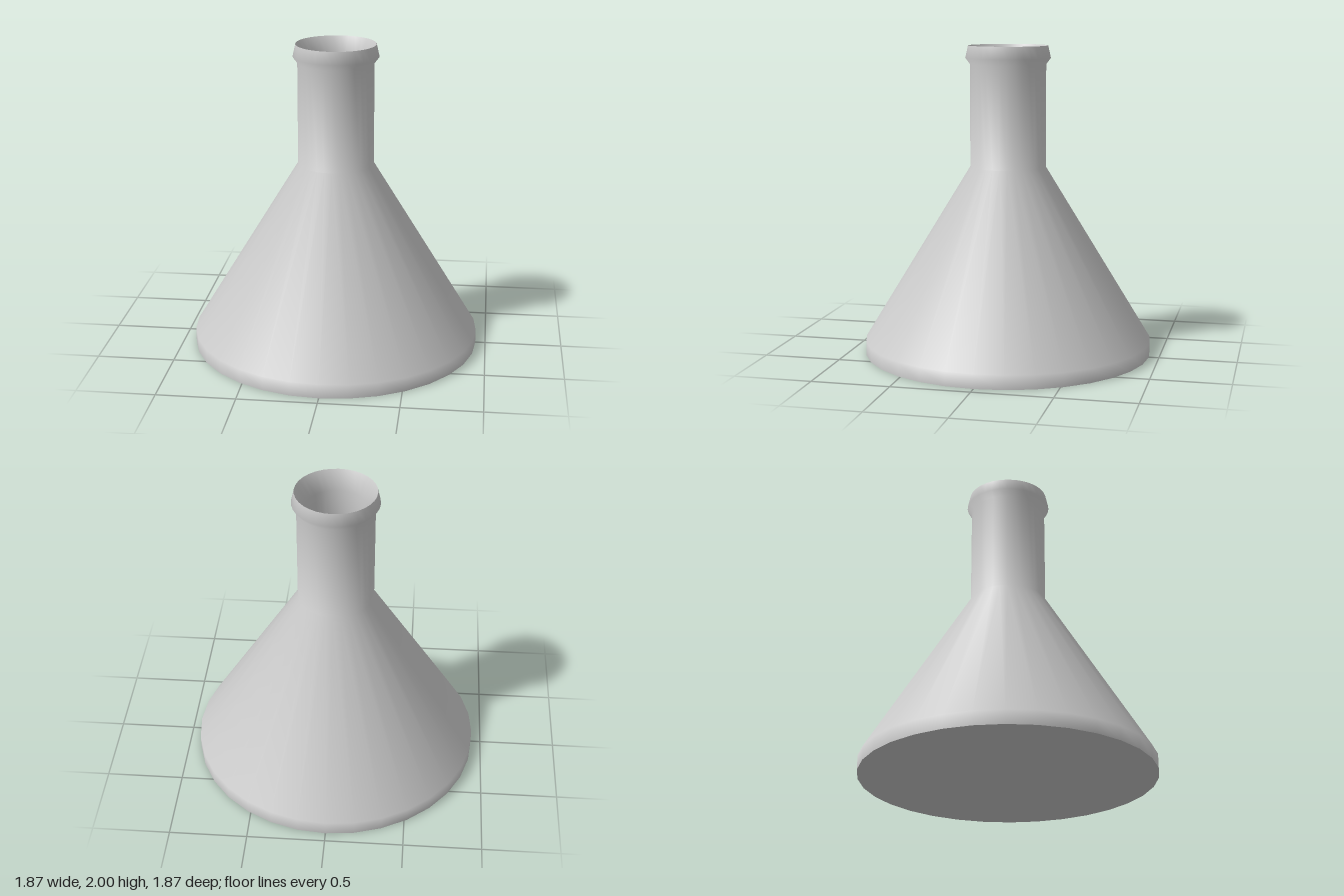
import * as THREE from 'three';

const SEGMENTS = 32;

export function createModel() {
  const model = new THREE.Group();
  model.name = 'conicalFlask';
  const material = new THREE.MeshStandardMaterial({ color: 0xcccccc });

  const add = (name, geometry) => {
    const mesh = new THREE.Mesh(geometry, material);
    mesh.name = name;
    model.add(mesh);
    return mesh;
  };
  const lathe = (name, profile) =>
    add(name, new THREE.LatheGeometry(profile.map(([r, y]) => new THREE.Vector2(r, y)), SEGMENTS));

  // Outer wall: base band, cone, neck and flared lip
  lathe('outerWall', [
    [0.935, 0], [0.935, 0.09], [0.245, 1.22], [0.245, 1.88], [0.275, 1.92], [0.257, 2],
  ]);

  // Inner wall: mouth funnel, neck bore and hollow body, facing inwards
  lathe('innerWall', [
    [0.257, 2], [0.195, 1.88], [0.195, 1.21], [0.885, 0.08], [0.885, 0.05],
  ]);

  // Flat underside, and the floor seen through the mouth
  const disc = (name, radius, y, facing) => {
    const geometry = new THREE.CircleGeometry(radius, SEGMENTS);
    geometry.rotateX(-facing * Math.PI / 2);
    add(name, geometry).position.y = y;
  };
  disc('underside', 0.935, 0, -1);
  disc('innerFloor', 0.885, 0.05, 1);

  return model;
}
